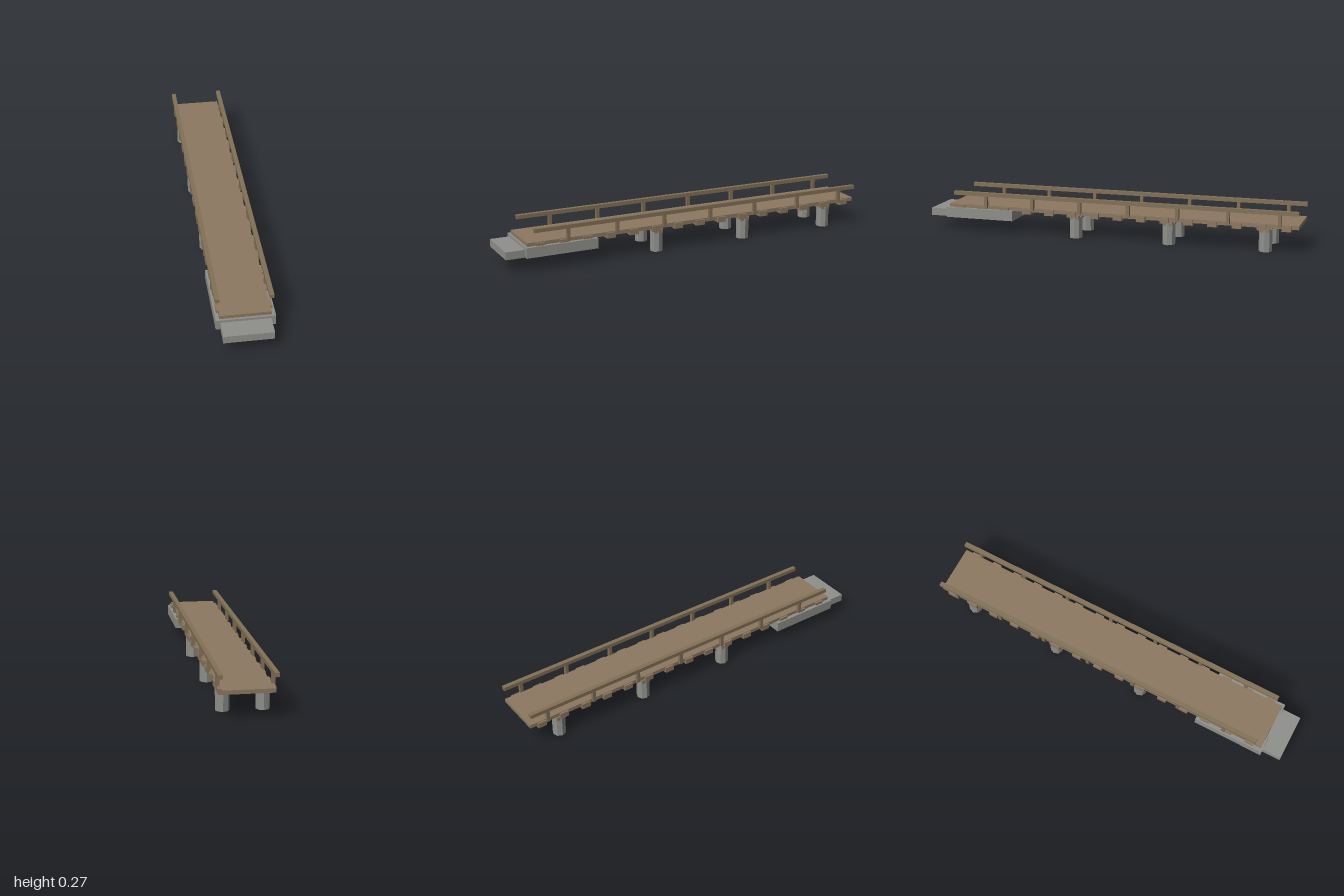
import * as THREE from 'three';

export function createModel() {
  const mat = (name, color, flatShading = false) => {
    const m = new THREE.MeshStandardMaterial({ color, flatShading });
    m.name = name;
    return m;
  };
  const deckWood = mat('deck wood', 0x8c7860);
  const railWood = mat('rail wood', 0x827156);
  const concrete = mat('concrete', 0x8f908b, true);

  const model = new THREE.Group();
  model.name = 'footbridge';
  // The bridge is laid out along local x, then turned onto the diagonal
  const bridge = new THREE.Group();
  bridge.name = 'bridge';
  bridge.rotation.y = -Math.PI / 4;
  model.add(bridge);

  // Box given by its limits along, up and its centre and width across
  const box = (name, material, x0, x1, y0, y1, width, z = 0) => {
    const mesh = new THREE.Mesh(new THREE.BoxGeometry(x1 - x0, y1 - y0, width), material);
    mesh.position.set((x0 + x1) / 2, (y0 + y1) / 2, z);
    mesh.name = name;
    bridge.add(mesh);
  };

  // Deck with cross joists that stand out a little at the sides
  box('deck', deckWood, -1.237, 1.124, 0.155, 0.18, 0.312);
  for (let i = 0; i < 15; i++) {
    const x = -1.158 + 0.157 * i;
    box('joist', deckWood, x - 0.03, x + 0.03, 0.14, 0.176, 0.336);
  }

  // Handrails on short square posts
  for (const side of [-1, 1]) {
    box('handrail', railWood, -1.237, 1.082, 0.245, 0.27, 0.028, side * 0.163);
    for (let i = 0; i < 7; i++) {
      const x = -1.117 + 0.329 * i;
      box('railPost', railWood, x - 0.011, x + 0.011, 0.165, 0.246, 0.022, side * 0.163);
    }
  }

  // Three pairs of octagonal piers, each pair under a cap beam
  const pierGeometry = new THREE.CylinderGeometry(0.043, 0.043, 0.142, 8);
  for (const x of [-1.022, -0.394, 0.237]) {
    box('capBeam', deckWood, x - 0.03, x + 0.03, 0.125, 0.15, 0.32);
    for (const side of [-1, 1]) {
      const pier = new THREE.Mesh(pierGeometry, concrete);
      pier.position.set(x, 0.071, side * 0.12);
      pier.name = 'pier';
      bridge.add(pier);
    }
  }

  // Landing block with a lower step in front
  box('landingBlock', concrete, 0.665, 1.138, 0.09, 0.157, 0.36);
  box('landingStep', concrete, 1.138, 1.262, 0.09, 0.14, 0.304);

  return model;
}
